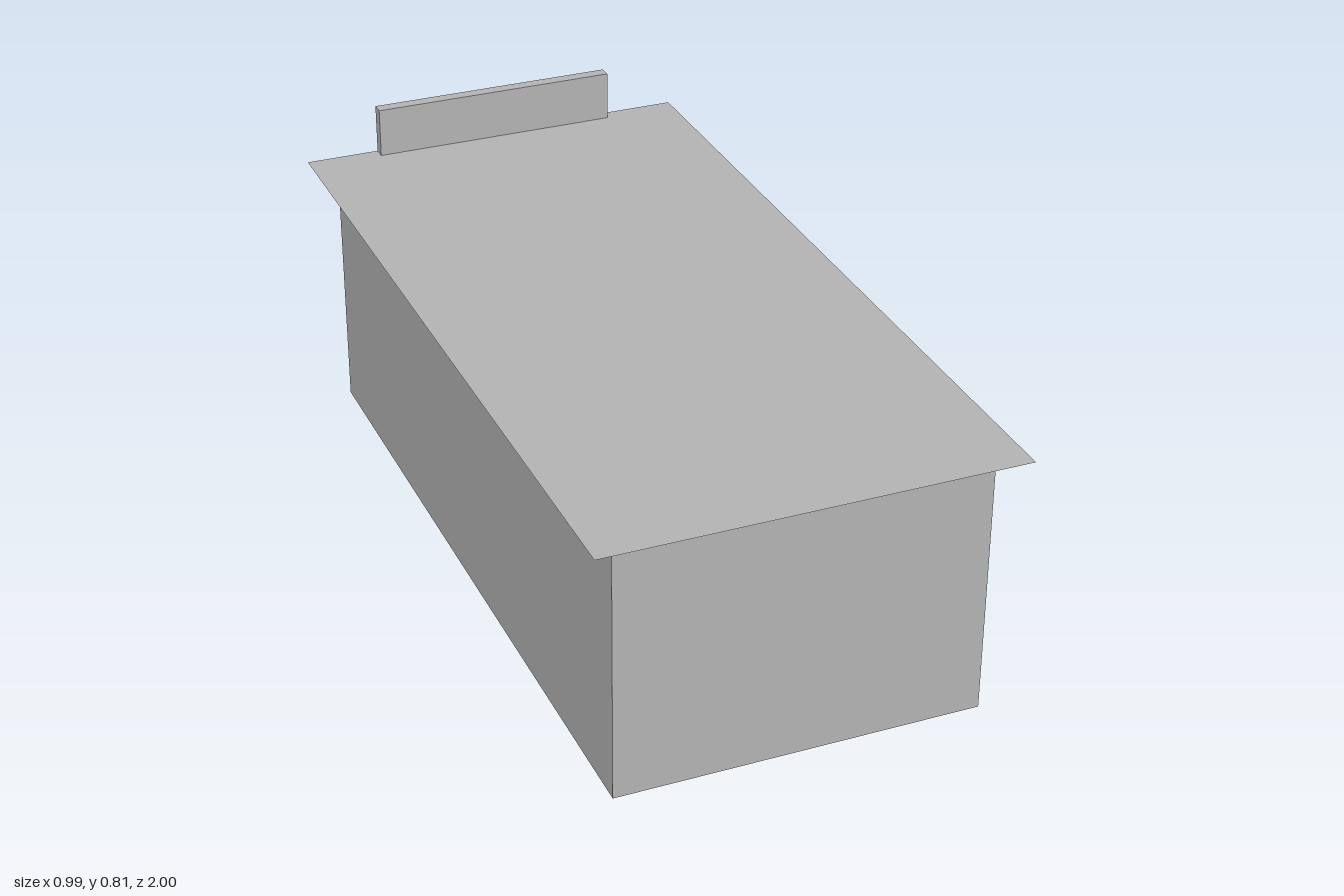
import * as THREE from 'three';

const grey = new THREE.MeshStandardMaterial({ color: 0xb4b4b4 });
grey.name = 'plain grey';
const sheetGrey = grey;
sheetGrey.side = THREE.DoubleSide; // the roof is a single open sheet

export function createModel() {
  const model = new THREE.Group();
  model.name = 'hall';

  const add = (name, geometry) => {
    const mesh = new THREE.Mesh(geometry, grey);
    mesh.name = name;
    model.add(mesh);
    return mesh;
  };

  // box given by its limits on each axis
  const box = (name, x0, x1, y0, y1, z0, z1) =>
    add(name, new THREE.BoxGeometry(x1 - x0, y1 - y0, z1 - z0))
      .position.set((x0 + x1) / 2, (y0 + y1) / 2, (z0 + z1) / 2);

  // upright slab pierced by the chamfered doorway
  const doorPanel = (name, halfWidth, y0, y1, z0, z1) => {
    const outline = [[-halfWidth, y0], [halfWidth, y0], [halfWidth, y1], [-halfWidth, y1]];
    const door = [[-0.19, 0.06], [-0.19, 0.367], [-0.125, 0.437], [0.125, 0.437], [0.19, 0.367], [0.19, 0.06]];
    const points = (list) => list.map(([x, y]) => new THREE.Vector2(x, y));
    const shape = new THREE.Shape(points(outline));
    shape.holes.push(new THREE.Path(points(door)));
    add(name, new THREE.ExtrudeGeometry(shape, { depth: z1 - z0, bevelEnabled: false }))
      .position.z = z0;
  };

  const bottom = 0.035, top = 0.685;

  // floor slab and the narrower threshold under the doorway
  box('floor', -0.375, 0.375, 0, 0.06, -0.86, 0.88);
  box('threshold', -0.248, 0.248, 0, bottom, -0.987, -0.86);

  // front wall, side walls and the back wall with its doorway
  box('frontWall', -0.435, 0.435, bottom, top, 0.88, 0.94);
  doorPanel('backWall', 0.435, bottom, top, -0.925, -0.86);

  for (const side of [1, -1]) {
    const between = (a, b) => [Math.min(a * side, b * side), Math.max(a * side, b * side)];
    box('sideWall', ...between(0.375, 0.435), bottom, top, -0.86, 0.88);
    // low block beside the door, and trim high on the wall
    box('cabinet', ...between(0.195, 0.375), 0.06, 0.29, -0.86, -0.75);
    box('cornice', ...between(0.36, 0.375), 0.64, 0.66, -0.86, 0.88);
    box('wallLamp', ...between(0.36, 0.375), 0.52, 0.57, -0.5, -0.43);
  }

  // doorway surround, taller facade and keystone
  doorPanel('doorSurround', 0.31, bottom, top, -0.956, -0.925);
  doorPanel('facade', 0.31, bottom, 0.81, -0.987, -0.956);
  box('keystone', -0.037, 0.037, 0.425, 0.507, -1, -0.987);

  // flat roof sheet with overhanging eaves
  const roof = add('roof', new THREE.PlaneGeometry(0.99, 1.987));
  roof.rotation.x = -Math.PI / 2;
  roof.position.set(0, top + 0.001, 0.0065);

  return model;
}
